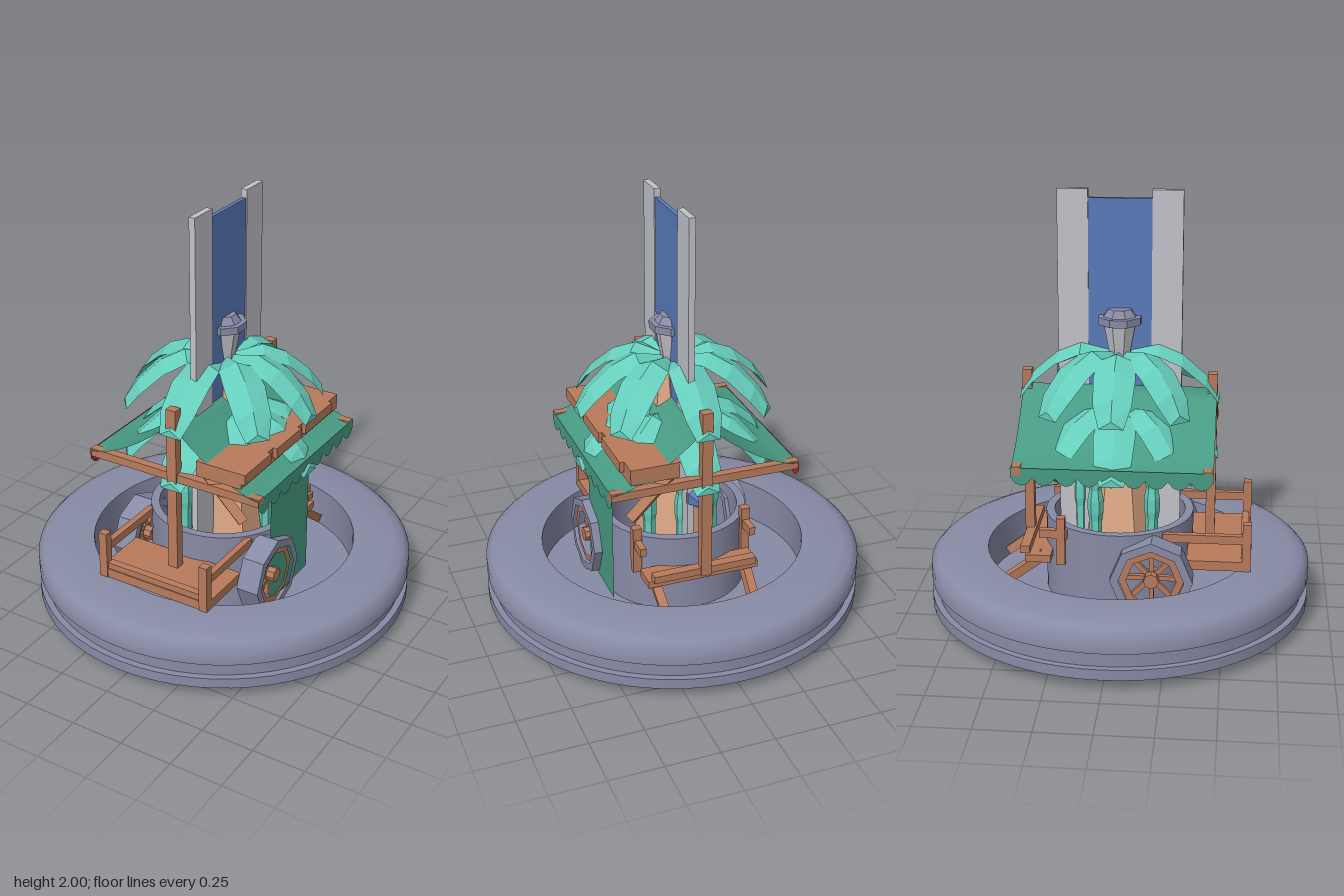
import * as THREE from 'three';
import { toCreasedNormals } from 'three/addons/utils/BufferGeometryUtils.js';

const mat = (name, color, extra = {}) => {
  const m = new THREE.MeshStandardMaterial({ color, ...extra });
  m.name = name;
  return m;
};

export function createModel() {
  const model = new THREE.Group();
  const stone = mat('slate stone', 0x888ba6);
  const wood = mat('wood', 0xb87b5c, { flatShading: true });
  const bark = mat('peach bark', 0xdea886, { flatShading: true });
  const leafMat = mat('turquoise leaf', 0x66cebc, { flatShading: true });
  const cloth = mat('green cloth', 0x489b84, { side: THREE.DoubleSide });
  const clothFront = mat('green trim', 0x489b84);
  const lining = mat('red lining', 0xb0243c);
  const metal = mat('pale metal', 0xc2c2ca, { flatShading: true });
  const glass = mat('blue panel', 0x5a7aba, { flatShading: true });

  const add = (name, geo, material, x = 0, y = 0, z = 0, parent = model) => {
    const m = new THREE.Mesh(geo, material);
    m.name = name;
    m.position.set(x, y, z);
    parent.add(m);
    return m;
  };
  // box given by its minimum and maximum corners
  const box = (name, material, x0, x1, y0, y1, z0, z1) =>
    add(name, new THREE.BoxGeometry(x1 - x0, y1 - y0, z1 - z0), material,
      (x0 + x1) / 2, (y0 + y1) / 2, (z0 + z1) / 2);
  // square beam between two points
  const beam = (name, material, a, b, w, parent = model) => {
    const p = new THREE.Vector3(...a), q = new THREE.Vector3(...b);
    const m = add(name, new THREE.BoxGeometry(w, w, p.distanceTo(q)), material, 0, 0, 0, parent);
    m.position.copy(p).lerp(q, 0.5);
    m.quaternion.setFromUnitVectors(new THREE.Vector3(0, 0, 1), q.sub(p).normalize());
    return m;
  };

  // round base with recessed floor, inner collar and open centre
  const profile = [[0.31, 0.05], [0.9, 0.05], [0.9, 0.1], [0.87, 0.1], [0.87, 0.16], [0.9, 0.175],
    [0.9, 0.25], [0.87, 0.28], [0.82, 0.3], [0.63, 0.3], [0.63, 0.1], [0.35, 0.1], [0.35, 0.48],
    [0.31, 0.48], [0.31, 0.05]].map(p => new THREE.Vector2(...p));
  add('base', toCreasedNormals(new THREE.LatheGeometry(profile, 64), 0.9), stone);

  // tapering trunk and the stalks around it
  const trunk = add('trunk', new THREE.CylinderGeometry(0.04, 0.215, 1.2, 6), bark, 0.02, 0.6, 0);
  trunk.rotation.z = -0.02;
  const stalkProfile = [[0, 0], [0.045, 0], [0.03, 0.2], [0.03, 0.48], [0.037, 0.52], [0.037, 0.58],
    [0.028, 0.63], [0.035, 0.67], [0, 0.67]].map(p => new THREE.Vector2(...p));
  const stalkGeo = new THREE.LatheGeometry(stalkProfile, 6);
  for (const [x, z] of [[-0.12, 0.16], [-0.16, -0.1], [0.16, -0.12], [0.02, -0.19]])
    add('stalk', stalkGeo, leafMat, x, 0, z);

  // two crowns of folded, drooping leaves
  const leafGeo = makeLeaf();
  for (const y of [1.02, 1.29]) {
    const crown = new THREE.Group();
    crown.name = 'leafCrown';
    crown.position.y = y;
    model.add(crown);
    for (const deg of [0, 40, 90, 140, 180, 220, 270, 320])
      add('leaf', leafGeo, leafMat, 0, 0, 0, crown).rotation.y = THREE.MathUtils.degToRad(deg);
  }

  // finial
  const oct = (r0, r1, h) => new THREE.CylinderGeometry(r1, r0, h, 8).rotateY(Math.PI / 8);
  add('finialCone', oct(0.04, 0.078, 0.2), metal, 0, 1.29, 0);
  const stoneFlat = mat('slate stone facets', 0x888ba6, { flatShading: true });
  add('finialRing', oct(0.105, 0.105, 0.035), stoneFlat, 0, 1.405, 0);
  add('finialCap', oct(0.08, 0.055, 0.033), stoneFlat, 0, 1.439, 0);

  // tall upright panel
  box('panel', glass, 0.005, 0.025, 1.06, 1.96, -0.145, 0.145);
  for (const s of [-1, 1])
    box('panelEdge', metal, 0, 0.03, 0.3, 2, Math.min(s * 0.145, s * 0.285), Math.max(s * 0.145, s * 0.285));

  // blue horn at the back
  const horn = add('horn', new THREE.ConeGeometry(0.06, 0.14, 6), glass, -0.02, 0.65, -0.34);
  horn.rotation.x = -Math.PI / 2;

  // sagging cloth roof
  const roof = new THREE.PlaneGeometry(0.9, 0.9, 16, 1).rotateX(-Math.PI / 2);
  const rp = roof.attributes.position;
  for (let i = 0; i < rp.count; i++)
    rp.setY(i, 0.83 + 0.26 * Math.pow(Math.max(0, 1 - Math.abs(rp.getX(i)) / 0.45), 1.6));
  roof.computeVertexNormals();
  add('roof', roof, cloth);

  // scalloped trim along both eaves, red on the inside
  const trim = new THREE.Shape();
  trim.moveTo(0.45, 0.835);
  trim.lineTo(-0.45, 0.835);
  trim.lineTo(-0.45, 0.79);
  for (let i = 0; i < 9; i++)
    trim.quadraticCurveTo(-0.4 + i * 0.1, 0.715, -0.35 + i * 0.1, 0.79);
  const trimGeo = new THREE.ShapeGeometry(trim, 4);
  for (const s of [-1, 1]) {
    add('roofTrim', trimGeo, clothFront, s * 0.45, 0, 0).rotation.y = s * Math.PI / 2;
    add('roofTrimLining', trimGeo, lining, s * 0.447, 0, 0).rotation.y = -s * Math.PI / 2;
  }

  // hanging curtain
  const curtain = new THREE.PlaneGeometry(0.36, 0.73);
  add('curtain', curtain, clothFront, 0.36, 0.485, 0).rotation.y = Math.PI / 2;
  add('curtainLining', curtain, lining, 0.357, 0.485, 0).rotation.y = -Math.PI / 2;

  // plank shelf on the roof slope with a notched outer edge
  box('roofPlank', wood, 0.13, 0.36, 0.87, 0.945, -0.45, 0.45);
  for (const [z0, z1] of [[-0.36, -0.1], [-0.06, 0.17], [0.22, 0.45]])
    box('roofPlankEdge', wood, 0.36, 0.38, 0.895, 0.945, z0, z1);

  // roof posts, cross beams and braces
  for (const s of [-1, 1]) {
    box('roofPost', wood, -0.025, 0.025, 0.33, 1.16, s * 0.43 - 0.022, s * 0.43 + 0.022);
    box('crossBeam', wood, -0.45, 0.45, 0.8, 0.84, s * 0.425 - 0.02, s * 0.425 + 0.02);
    beam('brace', wood, [0.16, 0.87, s * 0.41], [0.35, 0.68, s * 0.41], 0.045);
  }

  // cart deck, corner posts and rails
  box('frontDeck', wood, -0.29, 0.29, 0.3, 0.345, 0.33, 0.62);
  box('frontSill', wood, -0.25, 0.25, 0.345, 0.375, 0.58, 0.615);
  box('rearDeck', wood, -0.27, 0.27, 0.3, 0.335, -0.42, -0.3);
  box('rearSill', wood, -0.25, 0.25, 0.335, 0.37, -0.445, -0.4);
  for (const s of [-1, 1]) {
    const x = s * 0.27;
    for (const z of [0.605, -0.25])
      box('cartPost', wood, x - 0.021, x + 0.021, 0.3, 0.53, z - 0.02, z + 0.02);
    box('frontRail', wood, x - 0.015, x + 0.015, 0.43, 0.47, 0.22, 0.59);
    box('rearRail', wood, x - 0.015, x + 0.015, 0.43, 0.47, -0.35, -0.22);
    beam('shaft', wood, [s * 0.225, 0.32, -0.34], [s * 0.21, 0.14, -0.575], 0.042);
  }

  // eight-sided wheels
  const octagon = r => Array.from({ length: 8 }, (_, i) =>
    new THREE.Vector2(r * Math.sin(i * Math.PI / 4), r * Math.cos(i * Math.PI / 4)));
  const ring = (r1, r0, d) => {
    const s = new THREE.Shape(octagon(r1));
    s.holes.push(new THREE.Path(octagon(r0)));
    return new THREE.ExtrudeGeometry(s, { depth: d, bevelEnabled: false })
      .translate(0, 0, -d / 2).rotateY(Math.PI / 2);
  };
  for (const s of [-1, 1]) {
    const wheel = new THREE.Group();
    wheel.name = 'wheel';
    wheel.position.set(s * 0.345, 0.28, 0.175);
    model.add(wheel);
    add('tyre', ring(0.19, 0.15, 0.11), stoneFlat, 0, 0, 0, wheel);
    add('wheelRim', ring(0.15, 0.115, 0.08), wood, 0, 0, 0, wheel);
    add('hub', new THREE.CylinderGeometry(0.035, 0.035, 0.1, 8).rotateZ(Math.PI / 2), wood, 0, 0, 0, wheel);
    for (let i = 0; i < 4; i++) {
      const c = 0.12 * Math.cos(i * Math.PI / 4), d = 0.12 * Math.sin(i * Math.PI / 4);
      beam('spoke', wood, [0, c, d], [0, -c, -d], 0.022, wheel);
    }
  }
  return model;
}

// one leaf along +x: diamond sections of distance, height, half width and thickness
function makeLeaf() {
  const rings = [[0.05, -0.03, 0.04, 0.06], [0.18, 0, 0.085, 0.06], [0.29, -0.045, 0.095, 0.045],
    [0.4, -0.14, 0.085, 0.04], [0.46, -0.225, 0.055, 0.035]].map(([r, y, w, t]) =>
    [[r, y - 0.035, -w], [r, y, 0], [r, y - 0.035, w], [r, y - t, 0]]);
  const pos = [];
  const quad = (a, b, c, d) => pos.push(...a, ...b, ...c, ...a, ...c, ...d);
  for (let i = 0; i < rings.length - 1; i++)
    for (let k = 0; k < 4; k++) {
      const n = (k + 1) % 4;
      quad(rings[i][k], rings[i][n], rings[i + 1][n], rings[i + 1][k]);
    }
  // the end sections are split along the ridge
  const [l, t, r, b] = rings[rings.length - 1];
  quad(t, r, b, l);
  const [l0, t0, r0, b0] = rings[0];
  quad(t0, l0, b0, r0);
  const g = new THREE.BufferGeometry();
  g.setAttribute('position', new THREE.Float32BufferAttribute(pos, 3));
  g.computeVertexNormals();
  return g;
}
